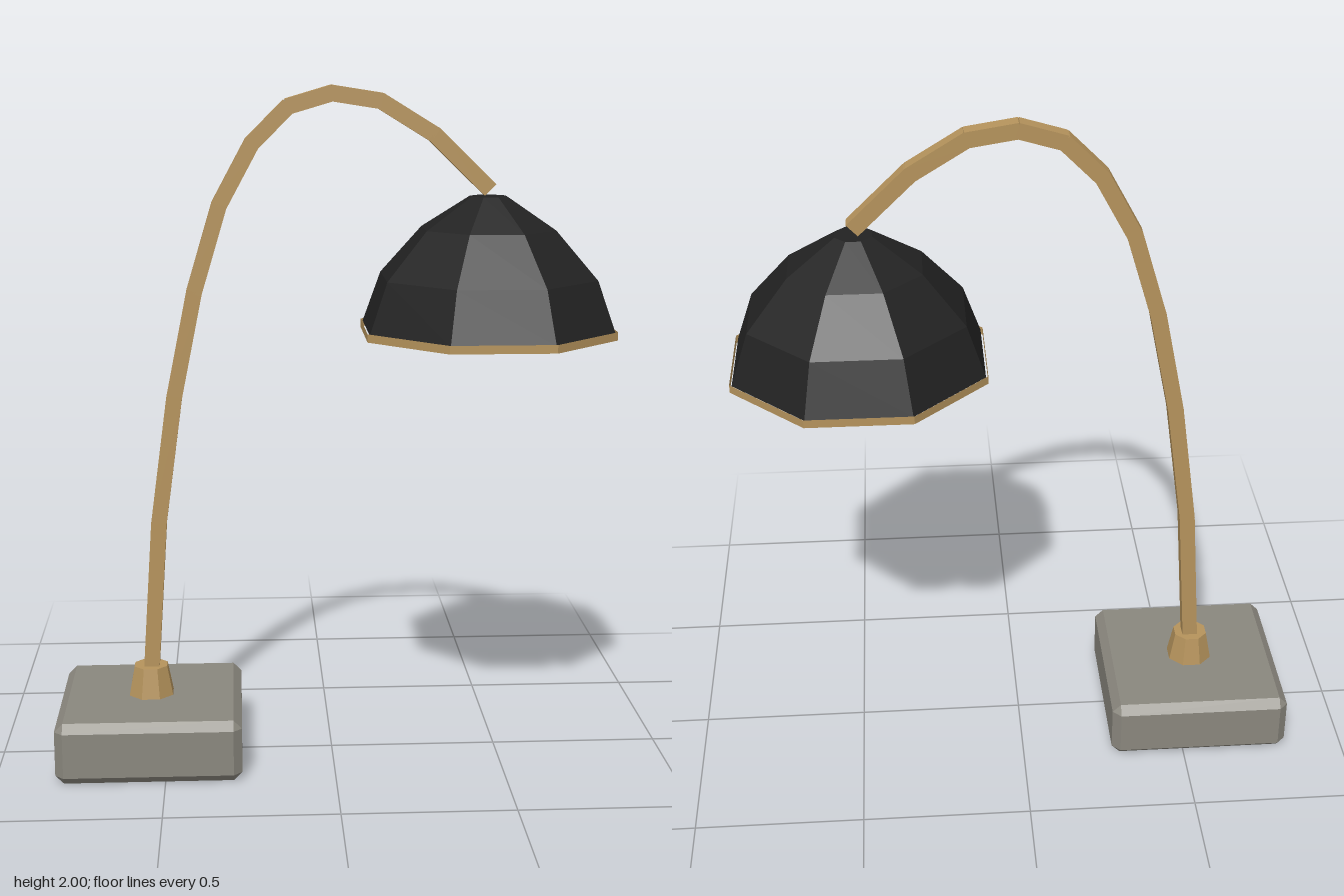
import * as THREE from 'three';

const mat = (name, color) => {
  const m = new THREE.MeshStandardMaterial({ color, flatShading: true, side: THREE.DoubleSide });
  m.name = name;
  return m;
};

// Hollow block with bevelled edges, open underneath
function bevelledShell(half, height, bevel) {
  const inner = half - bevel;
  const ring = (w, y) => {
    const pts = [];
    for (const [sx, sz, swap] of [[1, -1, 0], [-1, -1, 1], [-1, 1, 0], [1, 1, 1]]) {
      const alongX = [sx * w, y, sz * inner], alongZ = [sx * inner, y, sz * w];
      pts.push(...(swap ? [alongZ, alongX] : [alongX, alongZ]));
    }
    return pts;
  };
  const rings = [ring(inner, 0), ring(half, bevel), ring(half, height - bevel), ring(inner, height)];
  const pos = [];
  for (let r = 0; r < 3; r++) {
    for (let i = 0; i < 8; i++) {
      const j = (i + 1) % 8;
      const a = rings[r][i], b = rings[r][j], c = rings[r + 1][j], d = rings[r + 1][i];
      pos.push(...a, ...b, ...c, ...a, ...c, ...d);
    }
  }
  for (let i = 0; i < 8; i++) pos.push(0, height, 0, ...rings[3][i], ...rings[3][(i + 1) % 8]);
  const g = new THREE.BufferGeometry();
  g.setAttribute('position', new THREE.Float32BufferAttribute(pos, 3));
  g.computeVertexNormals();
  return g;
}

export function createModel() {
  const group = new THREE.Group();
  const stone = mat('stone grey', 0x8a877e);
  const brass = mat('brass', 0xb5935c);
  const black = mat('shade black', 0x222222);

  const add = (name, geometry, material, x, y, parent = group) => {
    const mesh = new THREE.Mesh(geometry, material);
    mesh.name = name;
    mesh.position.set(x, y, 0);
    parent.add(mesh);
    return mesh;
  };
  // Eight-sided cylinder with flats facing the axes
  const octagon = (top, bottom, h, open = false) =>
    new THREE.CylinderGeometry(top, bottom, h, 8, 1, open, Math.PI / 8);

  // Base and collar
  const baseX = -0.548;
  add('base', bevelledShell(0.273, 0.185, 0.025), stone, baseX, 0);
  add('collar', octagon(0.053, 0.071, 0.09), brass, baseX, 0.23);

  // Arched stem made of straight square bars
  const stem = new THREE.Group();
  stem.name = 'stem';
  group.add(stem);
  const path = [
    [-0.55, 0.2], [-0.515, 0.72], [-0.463, 1.1], [-0.4, 1.41], [-0.325, 1.66], [-0.23, 1.835],
    [-0.125, 1.94], [0, 1.977], [0.14, 1.955], [0.295, 1.86], [0.455, 1.705],
  ];
  for (let i = 0; i < path.length - 1; i++) {
    const [x0, y0] = path[i], [x1, y1] = path[i + 1];
    const length = Math.hypot(x1 - x0, y1 - y0) + 0.008;
    const bar = add('stemBar', new THREE.BoxGeometry(0.046, length, 0.046), brass,
      (x0 + x1) / 2, (y0 + y1) / 2, stem);
    bar.rotation.z = -Math.atan2(x1 - x0, y1 - y0);
  }

  // Faceted shade, open underneath, with rim band and lamp socket
  const shadeX = 0.455;
  const profile = [[0.383, 1.3], [0.328, 1.45], [0.202, 1.59], [0.056, 1.683], [0, 1.685]]
    .map(([r, y]) => new THREE.Vector2(r, y));
  add('shade', new THREE.LatheGeometry(profile, 8, Math.PI / 8), black, shadeX, 0);
  add('shadeRim', octagon(0.39, 0.39, 0.024, true), brass, shadeX, 1.293);
  add('socket', octagon(0.05, 0.07, 0.25), brass, shadeX, 1.495);

  return group;
}
